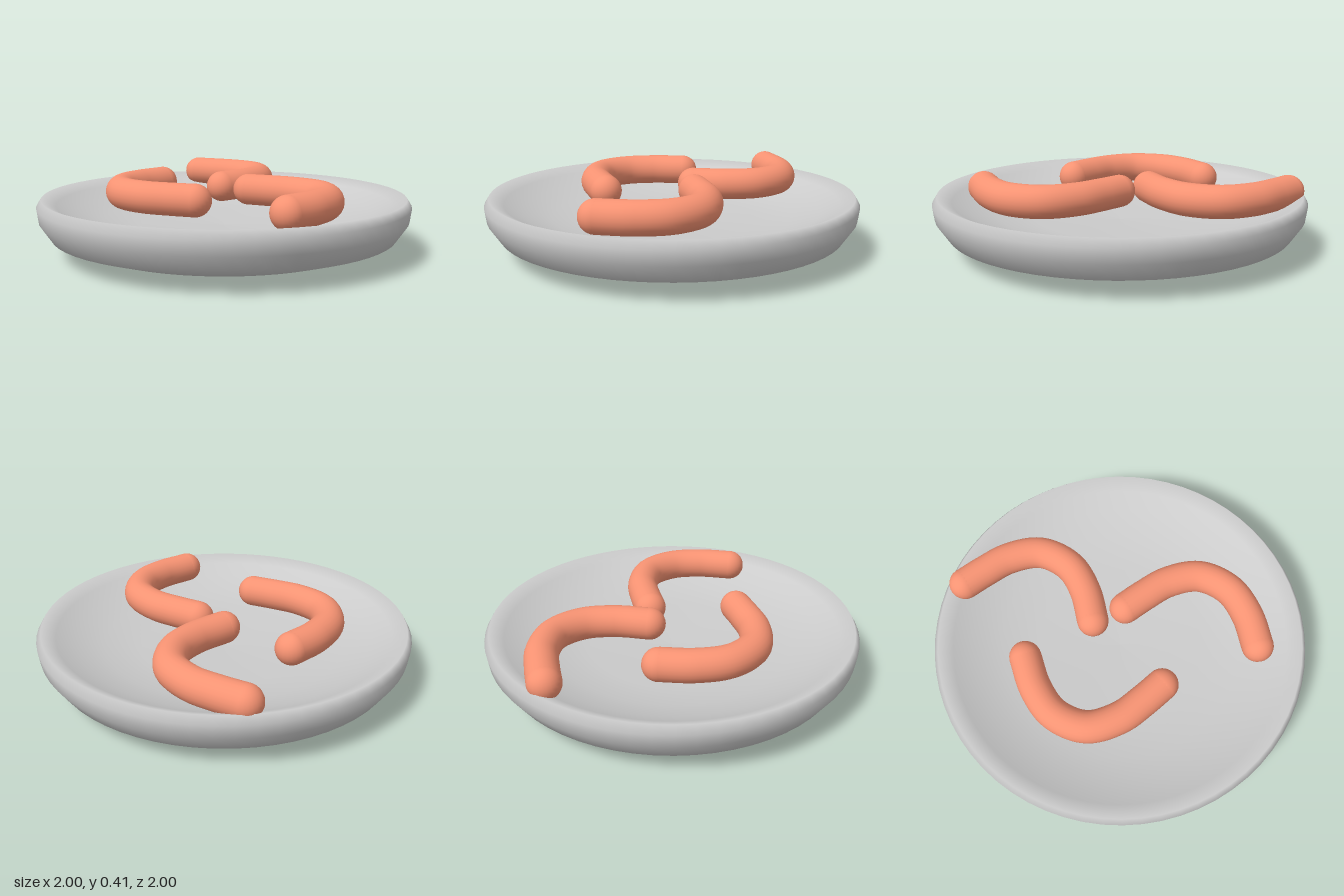
import * as THREE from 'three';

const RADIUS = 0.085;

// Bent sausage lying flat, starting at the local origin, with round ends
function makeSausage(material) {
  const points = [
    [0, 0], [0.13, 0.01], [0.28, 0.034], [0.435, 0.122], [0.504, 0.285],
    [0.477, 0.455], [0.397, 0.62],
  ].map(([x, z]) => new THREE.Vector3(x, 0, z));
  const curve = new THREE.CatmullRomCurve3(points);
  const sausage = new THREE.Group();

  const body = new THREE.Mesh(new THREE.TubeGeometry(curve, 48, RADIUS, 24), material);
  body.name = 'sausageBody';
  sausage.add(body);

  for (const end of [points[0], points[points.length - 1]]) {
    const cap = new THREE.Mesh(new THREE.SphereGeometry(RADIUS, 24, 16), material);
    cap.name = 'sausageEnd';
    cap.position.copy(end);
    sausage.add(cap);
  }
  return sausage;
}

export function createModel() {
  const model = new THREE.Group();
  model.name = 'plateOfSausages';

  // Plate: underside, rounded wall, broad lip, then the gently dished inside
  const profile = [
    [0, 0], [0.6, 0.033], [0.78, 0.05], [0.93, 0.1], [0.99, 0.19], [1, 0.265], [0.975, 0.305],
    [0.9, 0.268], [0.8, 0.22], [0.65, 0.175], [0.45, 0.145], [0, 0.13],
  ].map(([r, y]) => new THREE.Vector2(r, y));
  const plate = new THREE.Mesh(
    new THREE.LatheGeometry(profile, 64),
    new THREE.MeshStandardMaterial({ color: 0xcccccc, side: THREE.DoubleSide }),
  );
  plate.name = 'plate';
  model.add(plate);

  // Three sausages: x, z of the first end and turn in degrees
  const sausageMaterial = new THREE.MeshStandardMaterial({ color: 0xf79373 });
  const placements = [[-0.465, -0.765, 0], [0.112, -0.09, 0], [-0.018, 0.364, -174.6]];
  placements.forEach(([x, z, turn], i) => {
    const sausage = makeSausage(sausageMaterial);
    sausage.name = `sausage${i + 1}`;
    sausage.position.set(x, 0.32, z);
    sausage.rotation.y = THREE.MathUtils.degToRad(turn);
    model.add(sausage);
  });

  return model;
}
